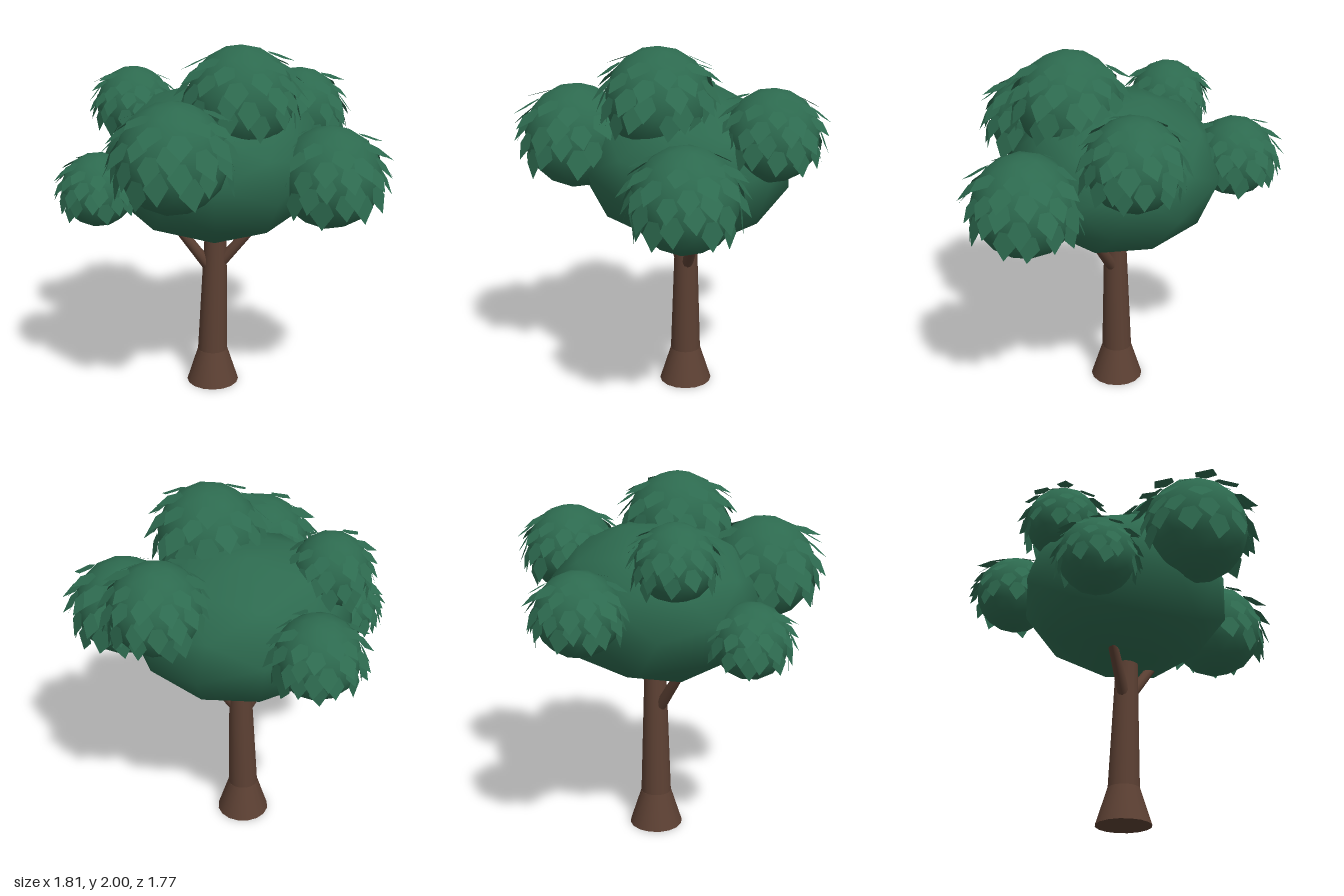
import * as THREE from 'three';
import { mergeGeometries } from 'three/addons/utils/BufferGeometryUtils.js';

const V = (x, y, z) => new THREE.Vector3(x, y, z);

// small seeded random generator
let seed = 7;
const rand = () => {
  seed = (seed * 16807) % 2147483647;
  return seed / 2147483647;
};

// tapered round limb between two points
function limb(name, a, b, rA, rB, material, sides = 16) {
  const dir = b.clone().sub(a);
  const geo = new THREE.CylinderGeometry(rB, rA, dir.length(), sides);
  const mesh = new THREE.Mesh(geo, material);
  mesh.name = name;
  mesh.position.copy(a).add(b).multiplyScalar(0.5);
  mesh.quaternion.setFromUnitVectors(V(0, 1, 0), dir.normalize());
  return mesh;
}

// pointed leaf outline, base at the origin and tip along +y
function leafGeometry() {
  const pts = [[-0.1, -0.03], [0.1, -0.03], [0.21, 0.2], [0, 0.49], [-0.21, 0.2]];
  return new THREE.ShapeGeometry(new THREE.Shape(pts.map(p => new THREE.Vector2(...p))));
}

// overlapping leaves spiralling down the upper part of a ball of radius r
function leafShell(r, count) {
  const leaf = leafGeometry();
  const parts = [];
  const turn = rand() * Math.PI * 2;
  for (let i = 0; i < count; i++) {
    const y = 0.83 - 1.11 * (i + 0.5) / count + (rand() - 0.5) * 0.06;
    const theta = Math.acos(y);
    const phi = turn + i * 2.39996 + (rand() - 0.5) * 0.25;
    const n = V(Math.sin(theta) * Math.cos(phi), y, Math.sin(theta) * Math.sin(phi));
    const down = V(y * Math.cos(phi), -Math.sin(theta), y * Math.sin(phi));
    const lift = 0.2 + rand() * 0.16;
    const along = down.multiplyScalar(Math.cos(lift)).addScaledVector(n, Math.sin(lift));
    along.applyAxisAngle(n, (rand() - 0.5) * 0.35);
    const side = along.clone().cross(n).normalize();
    const out = side.clone().cross(along);
    const m = new THREE.Matrix4().makeBasis(side, along, out);
    const size = r * (0.92 + rand() * 0.18);
    m.scale(V(size, size, size)).setPosition(n.multiplyScalar(r));
    parts.push(leaf.clone().applyMatrix4(m));
  }
  return mergeGeometries(parts);
}

export function createModel() {
  seed = 7;
  const bark = new THREE.MeshStandardMaterial({ color: 0x5c4033 });
  bark.name = 'bark brown';
  const green = new THREE.MeshStandardMaterial({ color: 0x2d6a4f, side: THREE.DoubleSide });
  green.name = 'leaf green';

  const tree = new THREE.Group();
  tree.name = 'tree';

  // trunk with flared foot and two branches
  tree.add(
    limb('trunkFoot', V(-0.04, 0, -0.03), V(-0.04, 0.2, -0.03), 0.15, 0.086, bark),
    limb('trunk', V(-0.04, 0.19, -0.03), V(-0.013, 1.2, -0.023), 0.086, 0.052, bark),
    limb('leftBranch', V(0.0, 0.73, -0.02), V(0.27, 1.06, 0.025), 0.033, 0.025, bark, 10),
    limb('rightBranch', V(-0.05, 0.7, -0.02), V(-0.29, 1.04, 0.02), 0.033, 0.025, bark, 10),
  );

  // large faceted crown core, a flat edge underneath running along z
  const coreGeo = new THREE.IcosahedronGeometry(1, 1);
  coreGeo.rotateY(Math.atan(2 / (1 + Math.sqrt(5))));
  coreGeo.rotateX(Math.PI / 10);
  coreGeo.scale(0.62, 0.44, 0.58);
  const core = new THREE.Mesh(coreGeo, green);
  core.name = 'crownCore';
  core.position.set(-0.03, 1.33, -0.03);
  tree.add(core);

  // leafy clumps around the crown: name, x, y, z, radius
  const clumps = [
    ['topClump', 0.11, 1.72, 0.19, 0.28],
    ['frontClump', -0.24, 1.49, 0.53, 0.285],
    ['frontLeftClump', 0.58, 1.31, 0.24, 0.275],
    ['backLeftClump', 0.46, 1.56, -0.3, 0.245],
    ['backClump', -0.29, 1.39, -0.62, 0.22],
    ['backRightClump', -0.47, 1.63, -0.17, 0.205],
    ['rightClump', -0.65, 1.23, 0.17, 0.2],
  ];
  for (const [name, x, y, z, r] of clumps) {
    const clump = new THREE.Group();
    clump.name = name;
    clump.position.set(x, y, z);
    const ballGeo = new THREE.IcosahedronGeometry(r, 2);
    ballGeo.rotateZ(-Math.atan(2 / (1 + Math.sqrt(5))));
    const ball = new THREE.Mesh(ballGeo, green);
    ball.name = 'clumpBall';
    const leaves = new THREE.Mesh(leafShell(r, 50), green);
    leaves.name = 'leaves';
    clump.add(ball, leaves);
    tree.add(clump);
  }
  return tree;
}
